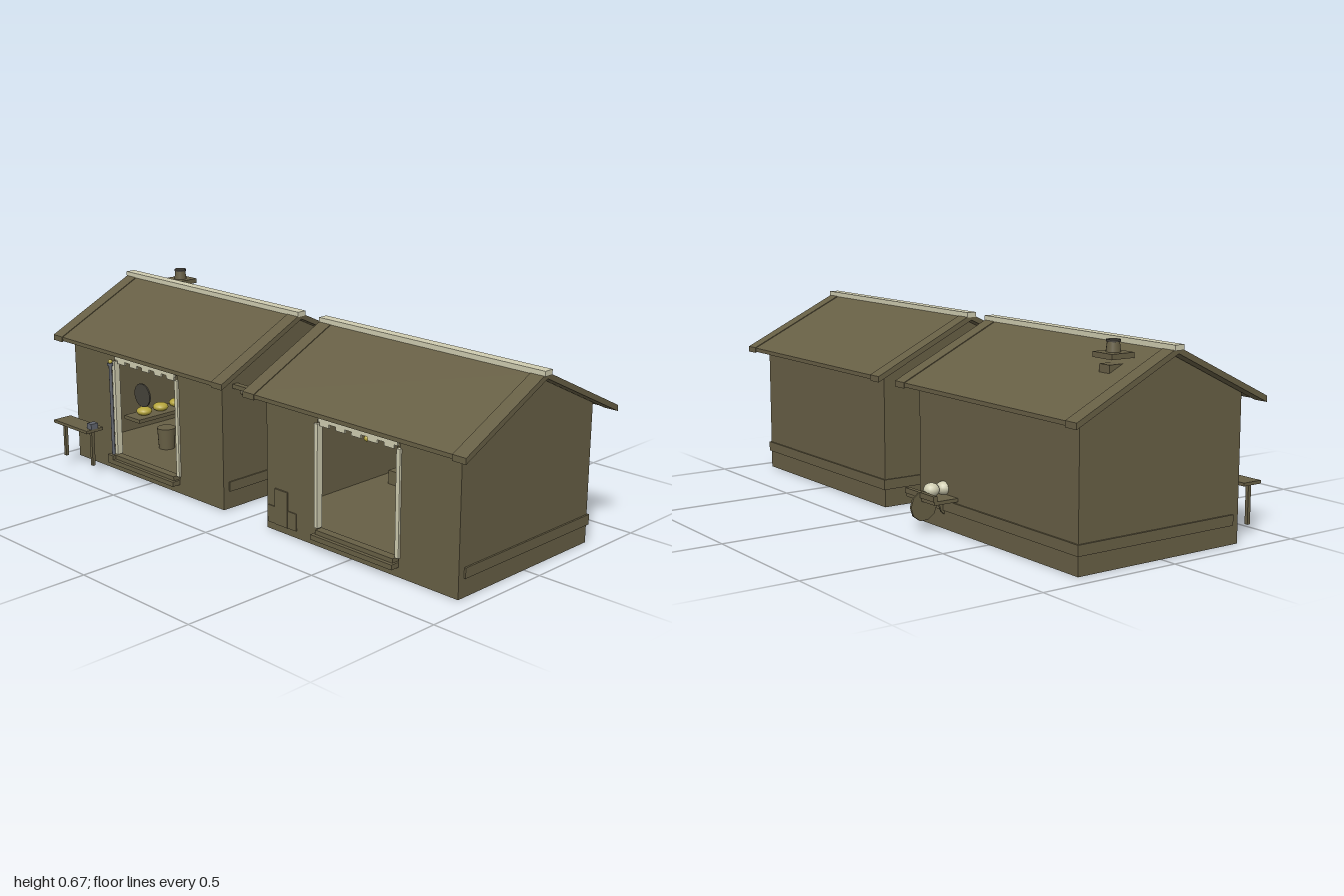
import * as THREE from 'three';

const mat = (name, color) => {
  const m = new THREE.MeshStandardMaterial({ color });
  m.name = name;
  return m;
};

export function createModel() {
  const timber = mat('olive timber', 0x675f45);
  const cream = mat('cream trim', 0xcfccb0);
  const steel = mat('blue grey metal', 0x62666f);
  const yellow = mat('yellow', 0xb5a53c);
  const dark = mat('charcoal', 0x45423a);

  const root = new THREE.Group();
  root.name = 'twinCabins';

  const add = (parent, name, geo, m, x = 0, y = 0, z = 0) => {
    const mesh = new THREE.Mesh(geo, m);
    mesh.name = name;
    mesh.position.set(x, y, z);
    parent.add(mesh);
    return mesh;
  };
  // box given by its minimum and maximum on each axis
  const box = (parent, name, m, x0, x1, y0, y1, z0, z1) =>
    add(parent, name, new THREE.BoxGeometry(x1 - x0, y1 - y0, z1 - z0), m,
      (x0 + x1) / 2, (y0 + y1) / 2, (z0 + z1) / 2);
  const ball = (parent, name, m, r, x, y, z, squash = 1) => {
    const b = add(parent, name, new THREE.SphereGeometry(r, 16, 10), m, x, y, z);
    b.scale.y = squash;
    return b;
  };
  const drum = (parent, name, m, r0, r1, h, x, y, z, sides = 16) =>
    add(parent, name, new THREE.CylinderGeometry(r0, r1, h, sides), m, x, y, z);
  const polygon = (pts) => new THREE.Shape(pts.map(([a, b]) => new THREE.Vector2(a, b)));
  // extrude a (z, y) profile along x, from x0 to x1
  const extrudeX = (parent, name, m, pts, x0, x1) => {
    const g = new THREE.ExtrudeGeometry(polygon(pts), { depth: x1 - x0, bevelEnabled: false });
    g.rotateY(-Math.PI / 2); // profile x becomes z, depth runs to -x
    return add(parent, name, g, m, x1);
  };

  const IN = 0.11, OUT = 0.94, FRONT = 0.32, BACK = -0.325, T = 0.015;
  const DOOR0 = 0.345, DOOR1 = 0.7;

  // one cabin shell; side is +1 or -1
  function cabin(side, name) {
    const g = new THREE.Group();
    g.name = name;
    root.add(g);
    const span = (a, b) => (side > 0 ? [a, b] : [-b, -a]);
    const sbox = (n, m, a, b, ...rest) => box(g, n, m, ...span(a, b), ...rest);
    const sprofile = (n, m, pts, a, b) => extrudeX(g, n, m, pts, ...span(a, b));

    // walls and floor
    const gable = [[BACK, 0], [FRONT, 0], [FRONT, 0.485], [0, 0.64], [BACK, 0.482]];
    sprofile('innerGableWall', timber, gable, IN, IN + T);
    sprofile('outerGableWall', timber, gable, OUT - T, OUT);
    sbox('backWall', timber, IN, OUT, 0, 0.48, BACK, BACK + T);
    sbox('floor', timber, IN, OUT, 0, 0.05, BACK, FRONT);
    const [x0, x1] = span(IN, OUT), [d0, d1] = span(DOOR0, DOOR1);
    const face = polygon([[x0, 0], [x1, 0], [x1, 0.48], [x0, 0.48]]);
    face.holes.push(new THREE.Path([[d0, 0.05], [d0, 0.435], [d1, 0.435], [d1, 0.05]]
      .map(([a, b]) => new THREE.Vector2(a, b))));
    add(g, 'frontWall', new THREE.ExtrudeGeometry(face, { depth: T, bevelEnabled: false }),
      timber, 0, 0, FRONT - T);

    // skirting bands on the sides and back
    sbox('innerBand', timber, IN - 0.005, IN, 0.063, 0.098, BACK, 0.295);
    sbox('outerBand', timber, OUT, OUT + 0.006, 0.063, 0.098, BACK, 0.295);
    sbox('backBand', timber, IN - 0.005, OUT + 0.006, 0.063, 0.098, BACK - 0.006, BACK);

    // pitched roof, raised verge boards and ridge cap
    const pitch = (lift, thick, zf, zb) => {
      const top = 0.652 + lift, s = 0.483;
      return [[zb, top + zb * s - thick], [0, top - thick], [zf, top - zf * s - thick],
        [zf, top - zf * s], [0, top], [zb, top + zb * s]];
    };
    sprofile('roof', timber, pitch(0, 0.014, 0.37, -0.38), 0.055, 0.995);
    for (const [a, b] of [[0.052, 0.105], [0.945, 0.997]])
      sprofile('vergeBoard', timber, pitch(0.003, 0.02, 0.373, -0.383), a, b);
    sbox('ridgeCap', cream, 0.05, 1, 0.645, 0.662, -0.018, 0.018);

    // door frame, scalloped valance and steps
    for (const x of [DOOR0, DOOR1 - 0.003])
      sbox('doorPost', cream, x - 0.007, x + 0.008, 0.065, 0.42, FRONT - 0.015, FRONT + 0.008);
    sbox('valance', cream, 0.355, 0.692, 0.428, 0.447, FRONT - 0.002, FRONT + 0.006);
    for (let i = 0; i < 5; i++)
      sbox('valanceFlap', cream, 0.36 + i * 0.069, 0.4 + i * 0.069, 0.415, 0.43, FRONT - 0.002, FRONT + 0.004);
    sbox('lowerStep', timber, DOOR0, DOOR1, 0.033, 0.05, 0.31, 0.353);
    sbox('upperStep', timber, 0.355, 0.692, 0.05, 0.065, 0.31, 0.34);
    return g;
  }

  const west = cabin(-1, 'rightCabin');
  const east = cabin(1, 'leftCabin');

  // right cabin interior: counters with buns, stool, stand and chest
  box(west, 'sideCounter', timber, -0.81, -0.72, 0.148, 0.162, -0.08, 0.2);
  box(west, 'backCounter', timber, -0.62, -0.3, 0.148, 0.162, -0.24, -0.12);
  for (const x of [-0.61, -0.32]) box(west, 'counterLeg', timber, x - 0.01, x + 0.01, 0.05, 0.148, -0.19, -0.17);
  for (let i = 0; i < 3; i++) {
    ball(west, 'sideBun', yellow, 0.03, -0.765, 0.176, 0.14 - i * 0.08, 0.55);
    ball(west, 'backBun', yellow, 0.03, -0.556 + i * 0.091, 0.176, -0.17, 0.55);
  }
  box(west, 'yellowCrate', yellow, -0.79, -0.74, 0.163, 0.21, -0.14, -0.09);
  drum(west, 'barrel', timber, 0.035, 0.03, 0.08, -0.66, 0.09, 0.12);
  box(west, 'chest', timber, -0.65, -0.45, 0.05, 0.125, -0.31, -0.24);
  box(west, 'standPole', timber, -0.622, -0.616, 0.05, 0.3, -0.1, -0.094);
  box(west, 'standArm', timber, -0.635, -0.565, 0.295, 0.303, -0.102, -0.092);
  const fan = drum(west, 'wallFan', dark, 0.045, 0.045, 0.006, -0.695, 0.265, 0.2, 20);
  fan.rotation.x = Math.PI / 2;

  // left cabin interior: long shelf, jars, lamps and tub
  box(east, 'shelf', timber, 0.2, 0.85, 0.19, 0.203, -0.31, -0.2);
  box(east, 'lowBench', timber, 0.2, 0.85, 0.05, 0.1, -0.31, -0.18);
  for (const x of [0.39, 0.45, 0.53]) drum(east, 'plate', dark, 0.018, 0.015, 0.008, x, 0.207, -0.24);
  ball(east, 'bun', yellow, 0.02, 0.6, 0.21, -0.24, 0.5);
  drum(east, 'tub', timber, 0.035, 0.028, 0.11, 0.665, 0.105, 0.05);
  drum(east, 'tubRim', timber, 0.04, 0.04, 0.012, 0.665, 0.165, 0.05);
  drum(east, 'funnel', steel, 0.035, 0.008, 0.05, 0.69, 0.225, -0.1);
  for (const x of [0.355, 0.7]) ball(east, 'lamp', yellow, 0.01, x, 0.32, 0.1);

  // metal post with a yellow knob beside the right cabin door
  const post = new THREE.Group();
  post.name = 'signPost';
  root.add(post);
  box(post, 'postFoot', timber, -0.72, -0.688, 0.033, 0.065, 0.32, 0.353);
  drum(post, 'postShaft', steel, 0.006, 0.006, 0.345, -0.705, 0.237, 0.336, 12);
  drum(post, 'postCollar', steel, 0.011, 0.011, 0.01, -0.705, 0.41, 0.336, 12);
  ball(post, 'postKnob', yellow, 0.008, -0.705, 0.42, 0.336);

  // outdoor bench with a small box
  const bench = new THREE.Group();
  bench.name = 'bench';
  root.add(bench);
  box(bench, 'benchTop', timber, -0.905, -0.705, 0.169, 0.18, 0.38, 0.455);
  for (const x of [-0.887, -0.723]) box(bench, 'benchLeg', timber, x - 0.006, x + 0.006, 0.037, 0.169, 0.412, 0.424);
  box(bench, 'benchBox', steel, -0.73, -0.705, 0.18, 0.201, 0.403, 0.433);

  // thin panels on the front of the left cabin
  box(east, 'widePanel', timber, 0.115, 0.25, 0.025, 0.085, FRONT, FRONT + 0.004);
  box(east, 'tallPanel', timber, 0.15, 0.21, 0.025, 0.15, FRONT, FRONT + 0.006);

  // links between the cabins: deck, bench and overhead beam
  const link = new THREE.Group();
  link.name = 'cabinLink';
  root.add(link);
  box(link, 'deck', timber, -IN, IN, 0.033, 0.041, -0.05, 0.04);
  box(link, 'linkBench', timber, -IN, IN, 0.105, 0.115, -0.17, -0.12);
  box(link, 'overheadBeam', timber, -IN, IN, 0.43, 0.445, 0.25, 0.272);
  for (const x of [-0.09, 0.09]) {
    box(link, 'linkBenchLeg', steel, x - 0.008, x + 0.008, 0.037, 0.105, -0.155, -0.135);
    ball(link, 'beamKnob', timber, 0.009, x * 0.8, 0.422, 0.261);
  }
  box(link, 'peg', dark, -0.11, -0.085, 0.125, 0.132, -0.15, -0.14);

  // roof vent
  const vent = new THREE.Group();
  vent.name = 'roofVent';
  root.add(vent);
  box(vent, 'ventStem', timber, -0.873, -0.827, 0.56, 0.6, -0.16, -0.105);
  box(vent, 'ventPlate', timber, -0.895, -0.807, 0.618, 0.635, -0.17, -0.083);
  drum(vent, 'ventPot', timber, 0.019, 0.023, 0.032, -0.85, 0.651, -0.126);
  drum(vent, 'ventRim', dark, 0.022, 0.022, 0.007, -0.85, 0.669, -0.126);

  // cart tray behind the right cabin, with thin ten sided wheels
  const cart = new THREE.Group();
  cart.name = 'cart';
  root.add(cart);
  box(cart, 'cartTray', timber, -0.33, -0.165, 0.105, 0.117, -0.415, -0.3);
  box(cart, 'cartLip', timber, -0.33, -0.165, 0.117, 0.135, -0.42, -0.405);
  for (const z of [-0.405, -0.297]) {
    const wheel = drum(cart, 'cartWheel', timber, 0.05, 0.05, 0.008, -0.25, 0.088, z, 10);
    wheel.rotation.z = Math.PI / 2;
  }
  for (const z of [-0.374, -0.325]) ball(cart, 'creamBall', cream, 0.027, -0.25, 0.137, z, 0.85);

  return root;
}
